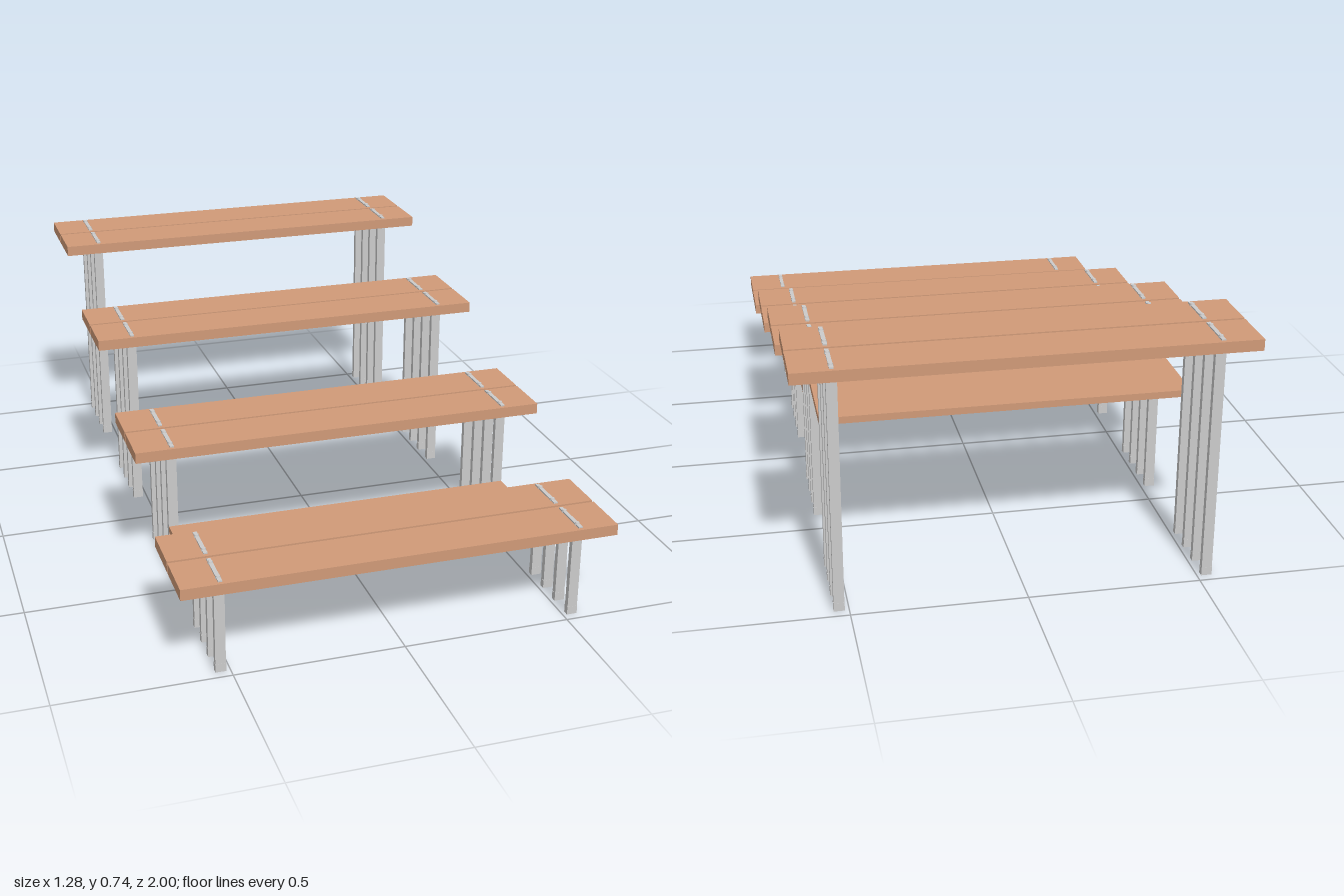
import * as THREE from 'three';

export function createModel() {
  const model = new THREE.Group();
  model.name = 'tieredBenches';
  const wood = new THREE.MeshStandardMaterial({ color: 0xd09a78 });
  const metal = new THREE.MeshStandardMaterial({ color: 0xcccccc });

  const TIERS = 4, RISE = 0.1475, STEP = 0.5617;
  const PLANK_W = 0.153, PLANK_H = 0.033, GAP = 0.009, LEG_X = 0.528;

  function add(parent, name, geometry, material, x, y, z) {
    const mesh = new THREE.Mesh(geometry, material);
    mesh.name = name;
    mesh.position.set(x, y, z);
    parent.add(mesh);
    return mesh;
  }
  const box = (w, h, d) => new THREE.BoxGeometry(w, h, d);

  for (let i = 0; i < TIERS; i++) {
    const tier = new THREE.Group();
    tier.name = 'benchTier' + (i + 1);
    model.add(tier);
    const top = 0.288 + i * RISE;
    const under = top - PLANK_H;
    const front = 1 - i * STEP;

    // Two seat planks, each strapped to its own pair of legs at both ends
    for (let p = 0; p < 2; p++) {
      const z = front - PLANK_W / 2 - p * (PLANK_W + GAP);
      add(tier, 'seatPlank', box(1.28, PLANK_H, PLANK_W), wood, 0, top - PLANK_H / 2, z);
      for (const side of [-1, 1]) {
        const x = side * LEG_X;
        add(tier, 'strap', box(0.012, 0.004, 0.13), metal, x, top + 0.002, z);
        for (const end of [-1, 1]) {
          const lz = z + end * 0.0415;
          add(tier, 'leg', box(0.03, under, 0.017), metal, x, under / 2, lz);
          add(tier, 'foot', box(0.031, 0.025, 0.018), metal, x, 0.0125, lz);
          add(tier, 'bolt', new THREE.CylinderGeometry(0.006, 0.008, 0.008, 12), metal, x, top + 0.004, lz);
        }
      }
    }

    // Foot board spanning back to the next tier
    if (i < TIERS - 1) {
      const z0 = front - 0.285, z1 = front - STEP - 0.026;
      add(tier, 'footBoard', box(1.085, 0.021, z0 - z1), wood, 0, 0.159 + i * RISE, (z0 + z1) / 2);
    }
  }
  return model;
}
